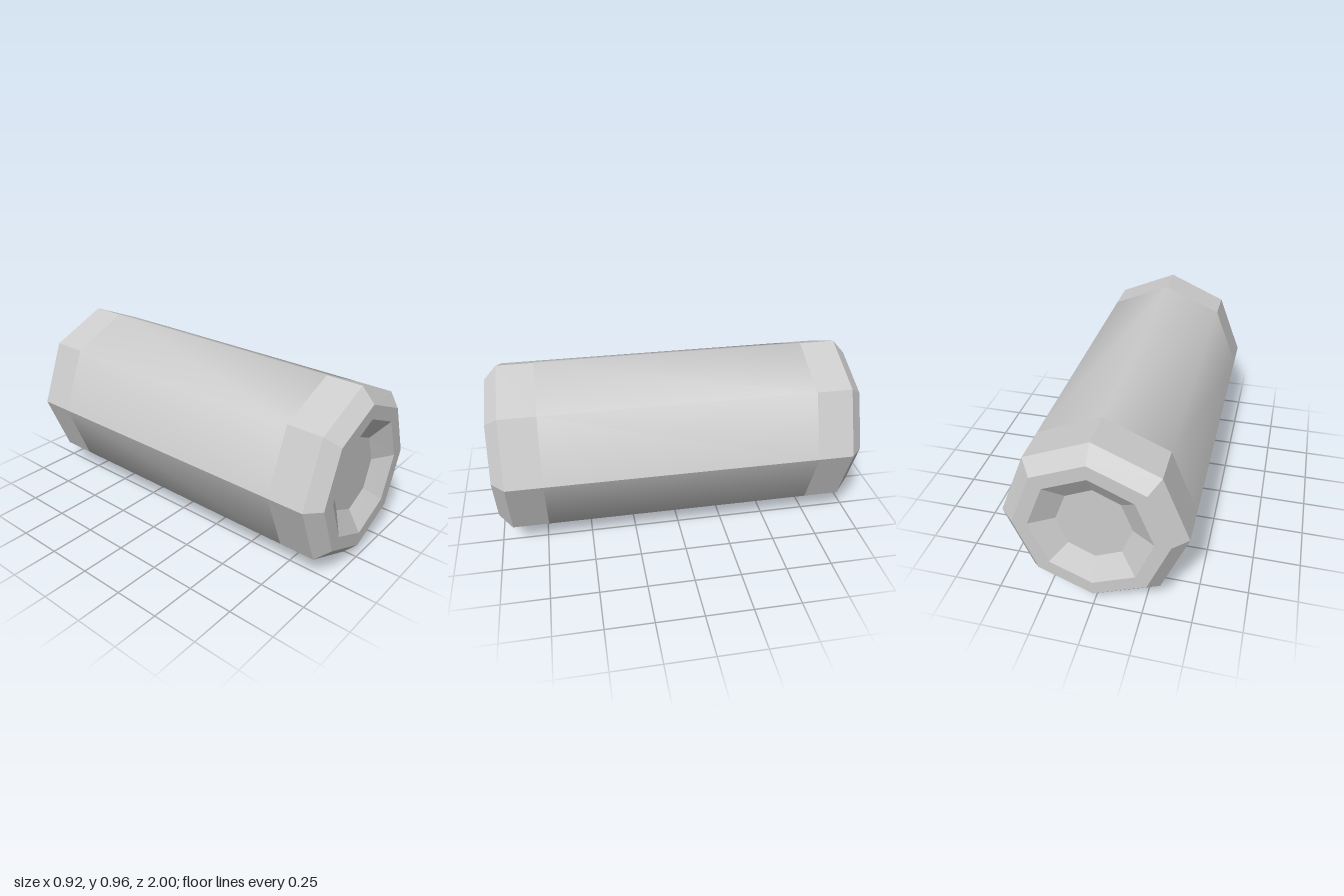
import * as THREE from 'three';

const SIDES = 8;
const CENTRE_Y = 0.483;

// Octagonal cross-section with corners at the top, bottom and sides.
function ring([rx, ry, z]) {
  return Array.from({ length: SIDES + 1 }, (_, i) => {
    const a = (i / SIDES) * Math.PI * 2;
    return [rx * Math.cos(a), ry * Math.sin(a), z];
  });
}

// Loft through a list of [rx, ry, z] sections, over corners first..last.
function loft(sections, first, last, flat) {
  const columns = last - first + 1;
  const positions = sections.flatMap((s) => ring(s).slice(first, last + 1).flat());
  const index = [];
  for (let s = 0; s < sections.length - 1; s++) {
    for (let i = 0; i < columns - 1; i++) {
      const a = s * columns + i;
      const b = a + columns;
      index.push(a, a + 1, b + 1);
      if (sections[s + 1][0] > 0) index.push(a, b + 1, b);
    }
  }
  let geometry = new THREE.BufferGeometry();
  geometry.setAttribute('position', new THREE.Float32BufferAttribute(positions, 3));
  geometry.setIndex(index);
  if (flat) geometry = geometry.toNonIndexed();
  geometry.computeVertexNormals();
  return geometry;
}

export function createModel() {
  const group = new THREE.Group();
  group.name = 'octagonalBarrel';
  const material = new THREE.MeshStandardMaterial({ color: 0xcccccc });

  const add = (name, geometry) => {
    const mesh = new THREE.Mesh(geometry, material);
    mesh.name = name;
    mesh.position.y = CENTRE_Y;
    group.add(mesh);
    return mesh;
  };

  // Softly shaded middle, creased along the two side corners
  const middle = [[0.46, 0.482, -0.735], [0.46, 0.482, 0.735]];
  add('upperBody', loft(middle, 0, 4, false));
  add('lowerBody', loft(middle, 4, 8, false));

  // Faceted end: collar, bevel, rim, sloping recess wall and recess floor
  const end = loft([
    [0.46, 0.482, 0.735],
    [0.46, 0.482, 0.93],
    [0.385, 0.405, 1],
    [0.307, 0.328, 1],
    [0.19, 0.211, 0.93],
    [0, 0, 0.93],
  ], 0, SIDES, true);
  add('frontEnd', end);
  add('backEnd', end).rotation.y = Math.PI;

  return group;
}
